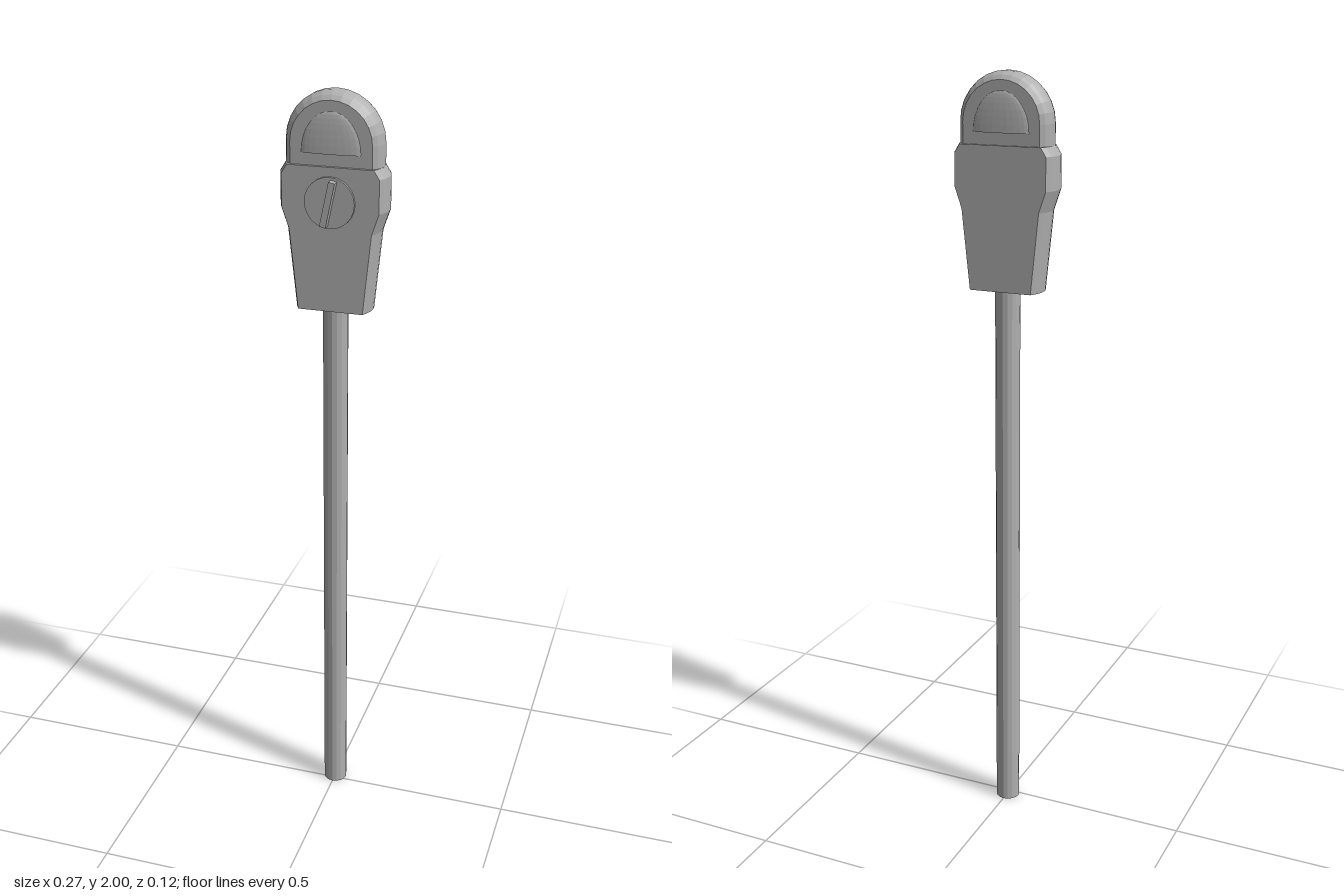
import * as THREE from 'three';

const MID = -0.0135; // depth centre of post and housing

// Skin a list of equal-length point loops and cap both ends.
function loft(rings) {
  const n = rings[0].length, idx = [];
  for (let r = 0; r < rings.length - 1; r++) {
    for (let i = 0; i < n; i++) {
      const j = (i + 1) % n, a = r * n, b = a + n;
      idx.push(a + i, a + j, b + j, a + i, b + j, b + i);
    }
  }
  const last = (rings.length - 1) * n;
  for (let i = 1; i < n - 1; i++) {
    idx.push(0, i + 1, i, last, last + i, last + i + 1);
  }
  const geo = new THREE.BufferGeometry();
  geo.setAttribute('position', new THREE.Float32BufferAttribute(rings.flat(2), 3));
  geo.setIndex(idx);
  geo.computeVertexNormals();
  return geo;
}

// Horizontal housing section: flat front and back, bowed sides.
function housingRing([y, w]) {
  const ring = [], half = 0.0485, steps = 6;
  for (const side of [1, -1]) {
    for (let i = 0; i <= steps; i++) {
      const t = 1 - (2 * i) / steps;
      ring.push([side * (w + 0.014 * (1 - t * t)), y, MID + side * t * half]);
    }
  }
  return ring;
}

// Upright arch section, shrunk by an inset.
function archRing([z, inset]) {
  const r = 0.122 - inset, ring = [[-r, 1.81, z], [r, 1.81, z]];
  for (let i = 0; i <= 14; i++) {
    const a = (i / 14) * Math.PI;
    ring.push([r * Math.cos(a), 1.878 + r * Math.sin(a), z]);
  }
  return ring;
}

export function createModel() {
  const group = new THREE.Group();
  const metal = new THREE.MeshStandardMaterial({ color: 0xb0b0b0, flatShading: true });
  metal.name = 'grey metal';
  const add = (name, geo, x = 0, y = 0, z = 0) => {
    const mesh = new THREE.Mesh(geo, metal);
    mesh.name = name;
    mesh.position.set(x, y, z);
    group.add(mesh);
    return mesh;
  };

  // Post
  add('post', new THREE.CylinderGeometry(0.032, 0.032, 1.48, 16), 0, 0.74, MID);

  // Tapered housing with a wide shoulder
  add('housing', loft([
    [1.465, 0.083], [1.668, 0.104], [1.72, 0.122], [1.803, 0.122], [1.825, 0.108],
  ].map(housingRing)));

  // Rounded arched head
  add('head', loft([
    [-0.054, 0.02], [-0.045, 0.009], [-0.035, 0.004], [-0.023, 0], [-0.004, 0],
    [0.008, 0.004], [0.018, 0.009], [0.027, 0.02],
  ].map(archRing)));

  // Bulging half-dome windows on both faces
  const profile = [new THREE.Vector2(0, 0)];
  for (let i = 0; i <= 8; i++) {
    const a = (i / 8) * Math.PI / 2;
    profile.push(new THREE.Vector2(i === 8 ? 0 : Math.cos(a), Math.sin(a)));
  }
  for (const [name, z] of [['frontWindow', 0.026], ['backWindow', -0.053]]) {
    const lens = new THREE.LatheGeometry(profile, 24);
    lens.scale(0.075, 0.1, 0.0095);
    add(name, lens, 0, 1.855, z);
  }

  // Coin dial with a tilted turning grip
  const dial = new THREE.CylinderGeometry(0.063, 0.063, 0.012, 24);
  dial.rotateX(Math.PI / 2);
  add('dial', dial, 0, 1.74, 0.036);
  const grip = add('dialGrip', new THREE.BoxGeometry(0.016, 0.112, 0.024), 0, 1.74, 0.049);
  grip.rotation.z = -0.21;

  return group;
}
